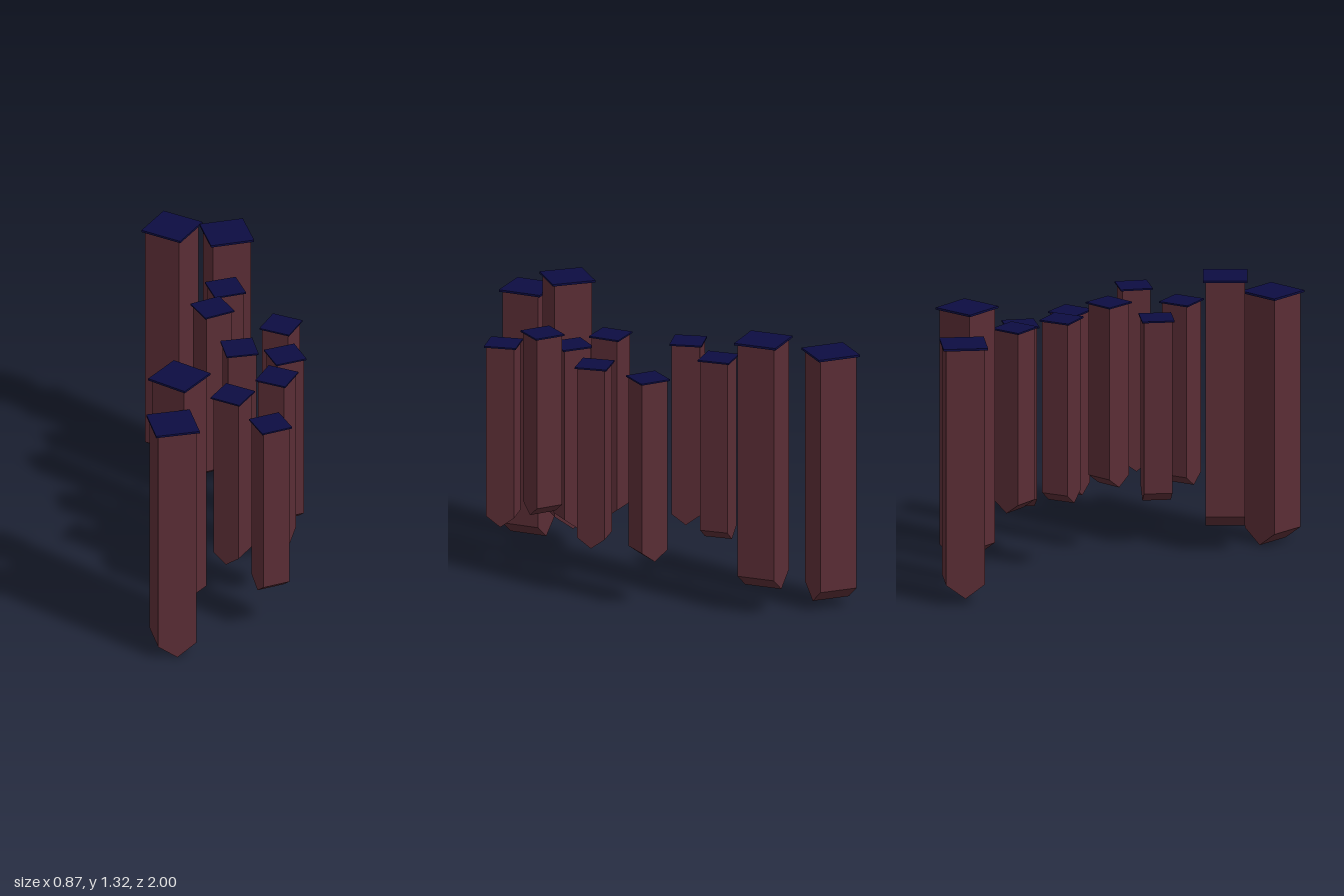
import * as THREE from 'three';

const HEIGHT = 1.2, WIDTH = 0.181, CAP_WIDTH = 0.206, CAP_HEIGHT = 0.01, POINT = 0.067;
const LARGE = 1, SMALL = 0.73;

// x, z, height of the top, turn in degrees, scale
const PILLARS = [
  [-0.302, -0.87, 1.234, 67, LARGE],
  [-0.027, -0.702, 1.318, 21.5, LARGE],
  [-0.003, -0.438, 1.178, 25, SMALL],
  [-0.037, -0.212, 1.2, 124, SMALL],
  [0.276, -0.257, 1.104, -18, SMALL],
  [0.33, 0.034, 1.116, 119, SMALL],
  [0.128, 0.126, 1.193, 108, SMALL],
  [0.126, 0.376, 1.087, -22, SMALL],
  [0.33, 0.367, 1.193, 72.5, SMALL],
  [0.33, 0.618, 1.087, 121, SMALL],
  [-0.094, 0.617, 1.31, -28.5, LARGE],
  [-0.094, 0.866, 1.203, 19.5, LARGE],
];

export function createModel() {
  const model = new THREE.Group();
  model.name = 'hangingPillars';
  const wood = new THREE.MeshStandardMaterial({ color: 0x5a2d35 });
  wood.name = 'darkRedBrown';
  const navy = new THREE.MeshStandardMaterial({ color: 0x0d0d42 });
  navy.name = 'navyBlue';

  // shaft: square column whose lower end narrows to a ridge along z
  const h = WIDTH / 2, top = HEIGHT - CAP_HEIGHT;
  const profile = new THREE.Shape([
    new THREE.Vector2(0, 0),
    new THREE.Vector2(h, POINT),
    new THREE.Vector2(h, top),
    new THREE.Vector2(-h, top),
    new THREE.Vector2(-h, POINT),
  ]);
  const shaftGeometry = new THREE.ExtrudeGeometry(profile, { depth: WIDTH, bevelEnabled: false });
  shaftGeometry.translate(0, -HEIGHT, -h);

  // cap: thin overhanging slab
  const capGeometry = new THREE.BoxGeometry(CAP_WIDTH, CAP_HEIGHT, CAP_WIDTH);
  capGeometry.translate(0, -CAP_HEIGHT / 2, 0);

  PILLARS.forEach(([x, z, y, turn, scale], i) => {
    const pillar = new THREE.Group();
    pillar.name = `pillar${i + 1}`;
    const shaft = new THREE.Mesh(shaftGeometry, wood);
    shaft.name = 'shaft';
    const cap = new THREE.Mesh(capGeometry, navy);
    cap.name = 'cap';
    pillar.add(shaft, cap);
    pillar.position.set(x, y, z);
    pillar.rotation.y = THREE.MathUtils.degToRad(turn);
    pillar.scale.setScalar(scale);
    model.add(pillar);
  });
  return model;
}
